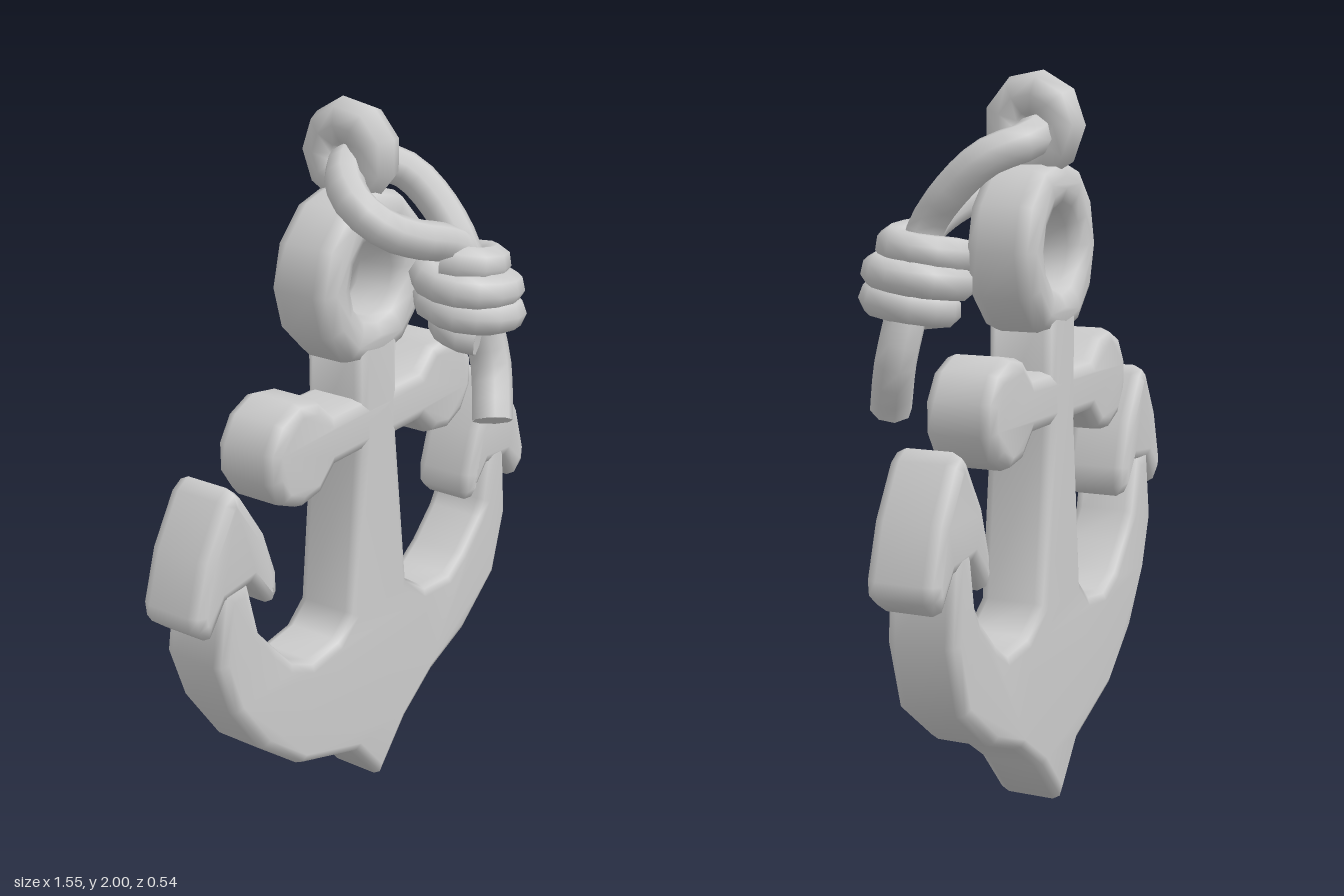
import * as THREE from 'three';
import { mergeVertices } from 'three/addons/utils/BufferGeometryUtils.js';

const material = new THREE.MeshStandardMaterial({ color: 0xcccccc });
const BACK = -0.21, DEPTH = 0.195;

// Weld vertices so that bevels shade smoothly
function smooth(geometry) {
  geometry.deleteAttribute('normal');
  geometry.deleteAttribute('uv');
  const welded = mergeVertices(geometry, 1e-4);
  welded.computeVertexNormals();
  return welded;
}

// Flat plate with softened edges; the outline is its full size
function plate(name, shape, bevel = 0.03) {
  const geometry = new THREE.ExtrudeGeometry(shape, {
    depth: DEPTH - 2 * bevel, bevelEnabled: true, bevelThickness: bevel,
    bevelSize: bevel, bevelOffset: -bevel, bevelSegments: 2, curveSegments: 6,
  });
  geometry.translate(0, 0, BACK + bevel);
  const mesh = new THREE.Mesh(smooth(geometry), material);
  mesh.name = name;
  return mesh;
}

const outline = (points) => new THREE.Shape(points.map(([x, y]) => new THREE.Vector2(x, y)));

function circlePoints(cx, cy, r, sides, from = 0, sweep = Math.PI * 2, closed = false) {
  const count = closed ? sides + 1 : sides;
  return Array.from({ length: count }, (_, i) => {
    const a = from + (sweep * i) / sides;
    return [cx + r * Math.cos(a), cy + r * Math.sin(a)];
  });
}

// Rope along a curve, with flat ends
function rope(name, points, radius, segments, sides = 8) {
  const curve = new THREE.CatmullRomCurve3(points.map((p) => new THREE.Vector3(...p)));
  const group = new THREE.Group();
  group.name = name;
  group.add(new THREE.Mesh(new THREE.TubeGeometry(curve, segments, radius, sides), material));
  for (const t of [0, 1]) {
    const cap = new THREE.Mesh(new THREE.CircleGeometry(radius, sides), material);
    const direction = curve.getTangent(t).multiplyScalar(t ? 1 : -1);
    cap.position.copy(curve.getPoint(t));
    cap.quaternion.setFromUnitVectors(new THREE.Vector3(0, 0, 1), direction);
    group.add(cap);
  }
  return group;
}

export function createModel() {
  const model = new THREE.Group();

  // Shank and the two curved arms, one side slightly higher than the other
  model.add(plate('shankAndArms', outline([
    [0, 0.0], [0.13, 0.14], [0.27, 0.235], [0.44, 0.3], [0.61, 0.43], [0.67, 0.62], [0.65, 0.86],
    [0.57, 0.86], [0.54, 0.7], [0.51, 0.655], [0.42, 0.57], [0.35, 0.525], [0.23, 0.535], [0.135, 0.6],
    [0.085, 1.07], [0.085, 1.38],
    [-0.085, 1.38], [-0.085, 1.07],
    [-0.135, 0.6], [-0.2, 0.545], [-0.31, 0.53], [-0.395, 0.57], [-0.46, 0.64], [-0.53, 0.72], [-0.57, 0.88],
    [-0.66, 0.88], [-0.695, 0.68], [-0.64, 0.52], [-0.53, 0.36], [-0.37, 0.23], [-0.12, 0.14],
  ])));

  // Arrow-shaped flukes, mirrored
  const fluke = [
    [0.655, 0.8], [0.72, 0.715], [0.77, 0.755], [0.775, 0.8], [0.73, 0.94], [0.65, 1.07], [0.61, 1.095],
    [0.58, 1.07], [0.495, 0.94], [0.45, 0.81], [0.45, 0.75], [0.475, 0.72], [0.56, 0.81],
  ];
  model.add(plate('leftFluke', outline(fluke), 0.035));
  model.add(plate('rightFluke', outline(fluke.map(([x, y]) => [-x, y + 0.055]).reverse()), 0.035));

  // Stock bar with a round knob at each end
  const gap = Math.PI * 0.83;
  model.add(plate('stock', outline([
    ...circlePoints(0.32, 1.145, 0.147, 9, -gap, 2 * gap, true),
    ...circlePoints(-0.325, 1.145, 0.147, 9, Math.PI - gap, 2 * gap, true),
  ]), 0.035));

  // Eye at the top of the shank
  const eye = outline(circlePoints(0, 1.54, 0.24, 12));
  const hole = circlePoints(0, 1.54, 0.11, 12).reverse().map(([x, y]) => new THREE.Vector2(x, y));
  eye.holes.push(new THREE.Path(hole));
  model.add(plate('eye', eye, 0.045));

  // Small rope loop on top
  const loop = new THREE.Mesh(new THREE.TorusGeometry(0.08, 0.065, 8, 9), material);
  loop.name = 'topLoop';
  loop.rotation.y = Math.PI / 2;
  loop.position.set(0.02, 1.86, -0.125);
  model.add(loop);

  // Sling passing through the loop, with both ends running into the knot
  model.add(rope('sling', [
    [0.21, 1.5, 0.12], [0.19, 1.59, 0.11], [0.12, 1.63, 0.1], [0.02, 1.66, 0.09], [-0.07, 1.7, 0.05],
    [-0.105, 1.76, -0.02], [-0.06, 1.81, -0.09], [0.02, 1.84, -0.13], [0.13, 1.82, -0.15],
    [0.2, 1.78, -0.07], [0.215, 1.7, 0.02], [0.205, 1.6, 0.1], [0.22, 1.5, 0.12],
  ], 0.052, 28));

  // Knot: rope wound around the sling, widest in the middle
  const turns = 3.1, steps = 26;
  const coil = Array.from({ length: steps + 1 }, (_, i) => {
    const t = i / steps, a = Math.PI - t * turns * Math.PI * 2;
    const r = 0.075 + 0.035 * Math.sin(Math.PI * t);
    return [0.205 + 0.03 * t + r * Math.cos(a), 1.58 - 0.215 * t, 0.095 + 0.04 * t + r * Math.sin(a)];
  });
  model.add(rope('knot', coil, 0.049, 40));

  // Loose rope end
  model.add(rope('ropeTail', [
    [0.24, 1.5, 0.12], [0.28, 1.37, 0.125], [0.29, 1.25, 0.15], [0.225, 1.115, 0.2],
  ], 0.057, 8));

  return model;
}
